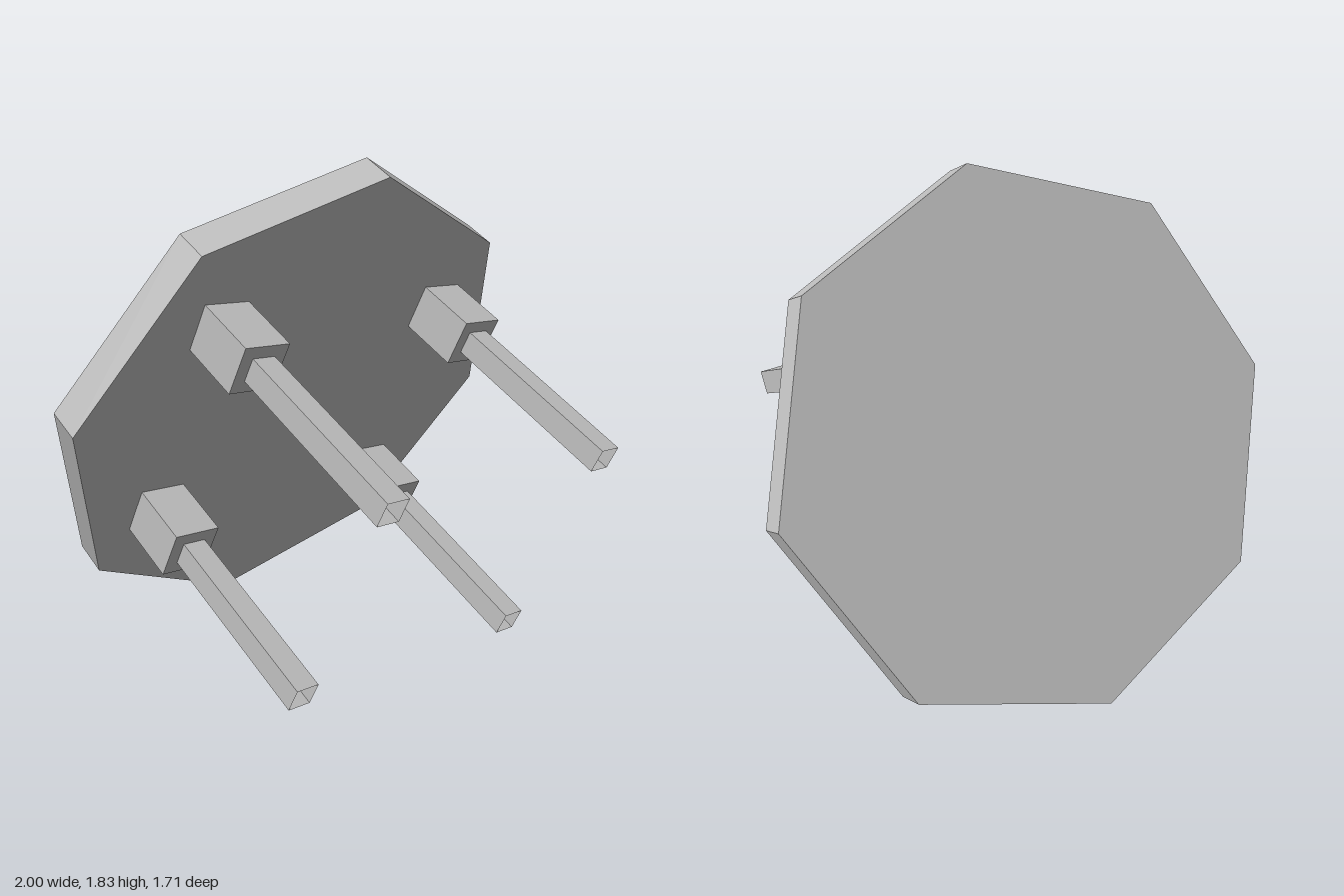
import * as THREE from 'three';

export function createModel() {
  const model = new THREE.Group();
  model.name = 'tiltedTable';

  const grey = new THREE.MeshStandardMaterial({ color: 0xc0c0c0, flatShading: true, side: THREE.DoubleSide });
  grey.name = 'grey';

  // The table is built upright around the centre of its top, then tipped back
  const table = new THREE.Group();
  table.name = 'table';
  table.position.set(0, 0.935, -0.29);
  table.rotation.x = -Math.PI / 3;
  model.add(table);

  const add = (name, geometry, x, y, z) => {
    const mesh = new THREE.Mesh(geometry, grey);
    mesh.name = name;
    mesh.position.set(x, y, z);
    table.add(mesh);
  };

  // Octagonal top
  const thickness = 0.139;
  add('tableTop', new THREE.CylinderGeometry(1, 1, thickness, 8), 0, 0, 0);

  // Square mounting blocks and hollow square legs, open at the foot
  const under = -thickness / 2, blockEnd = -0.321, legEnd = -1.054;
  const block = new THREE.BoxGeometry(0.187, under - blockEnd, 0.187);
  const legRadius = 0.093 / Math.SQRT2;
  const leg = new THREE.CylinderGeometry(legRadius, legRadius, blockEnd - legEnd, 4, 1, true);
  leg.rotateY(Math.PI / 4);

  for (const x of [-0.534, 0.534]) {
    for (const z of [-0.419, 0.419]) {
      const place = (z > 0 ? 'upper' : 'lower') + (x > 0 ? 'Left' : 'Right');
      add(place + 'Block', block, x, (under + blockEnd) / 2, z);
      add(place + 'Leg', leg, x, (blockEnd + legEnd) / 2, z);
    }
  }
  return model;
}
